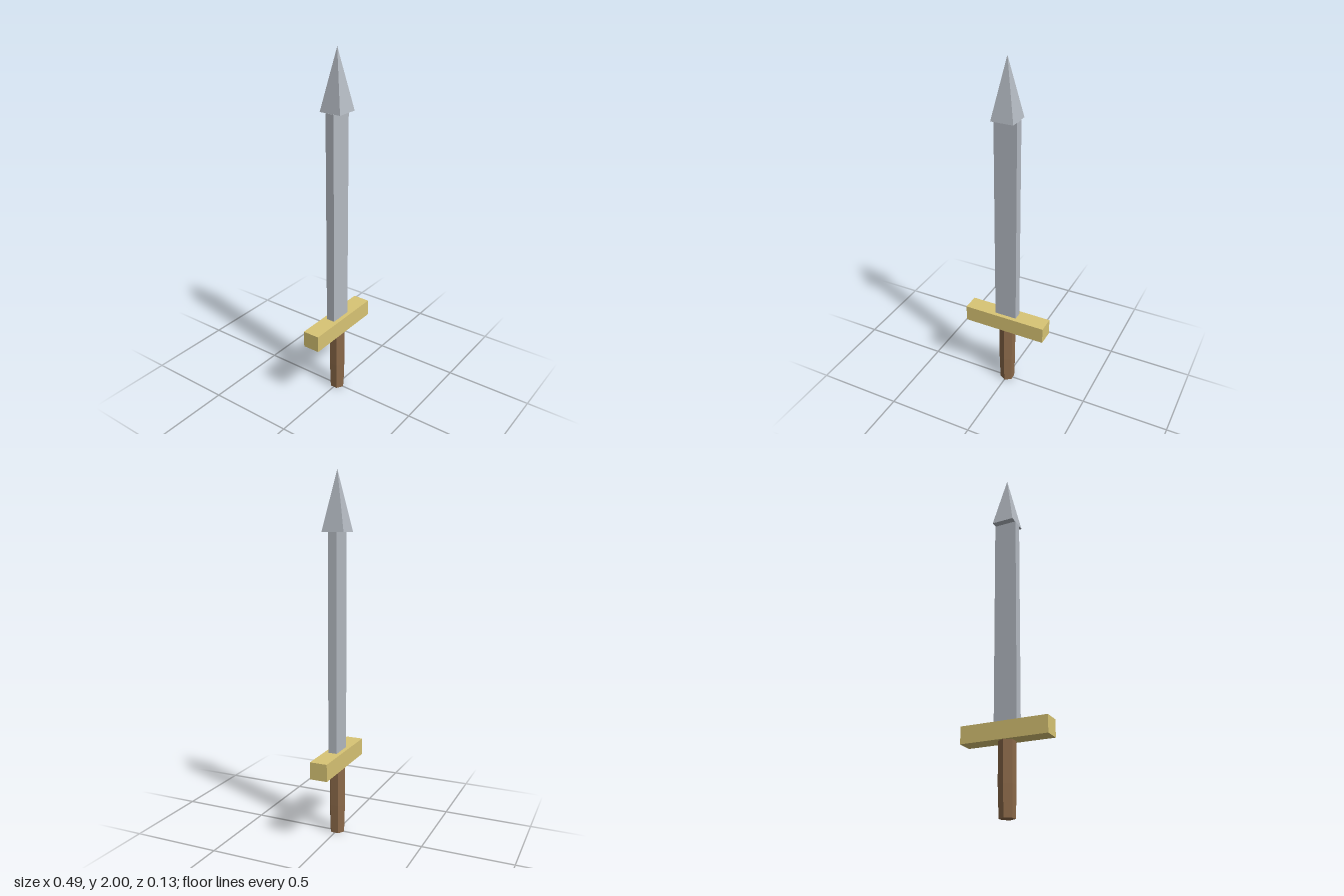
import * as THREE from 'three';

const material = (color) => new THREE.MeshStandardMaterial({ color, flatShading: true });

export function createModel() {
  const sword = new THREE.Group();
  sword.name = 'sword';
  const steel = material(0xb4bac2);
  const brass = material(0xd8c474);
  const wood = material(0x8c6a4a);

  // Each part stands on its own bottom height
  const add = (name, geometry, mat, bottom, height) => {
    const mesh = new THREE.Mesh(geometry, mat);
    mesh.name = name;
    mesh.position.y = bottom + height / 2;
    sword.add(mesh);
  };

  // Six-sided grip, narrowing slightly to its end
  add('grip', new THREE.CylinderGeometry(0.047, 0.047, 0.23, 6), wood, 0.17, 0.23);
  add('gripEnd', new THREE.CylinderGeometry(0.047, 0.042, 0.165, 6), wood, 0.005, 0.165);

  // Cross guard
  add('guard', new THREE.BoxGeometry(0.49, 0.095, 0.098), brass, 0.39, 0.095);

  // Flat blade
  add('blade', new THREE.BoxGeometry(0.13, 1.2, 0.05), steel, 0.48, 1.2);

  // Square pyramid point, overhanging the blade front and back
  const tip = new THREE.ConeGeometry(0.063 * Math.SQRT2, 0.32, 4).rotateY(Math.PI / 4);
  add('tip', tip, steel, 1.68, 0.32);

  return sword;
}
